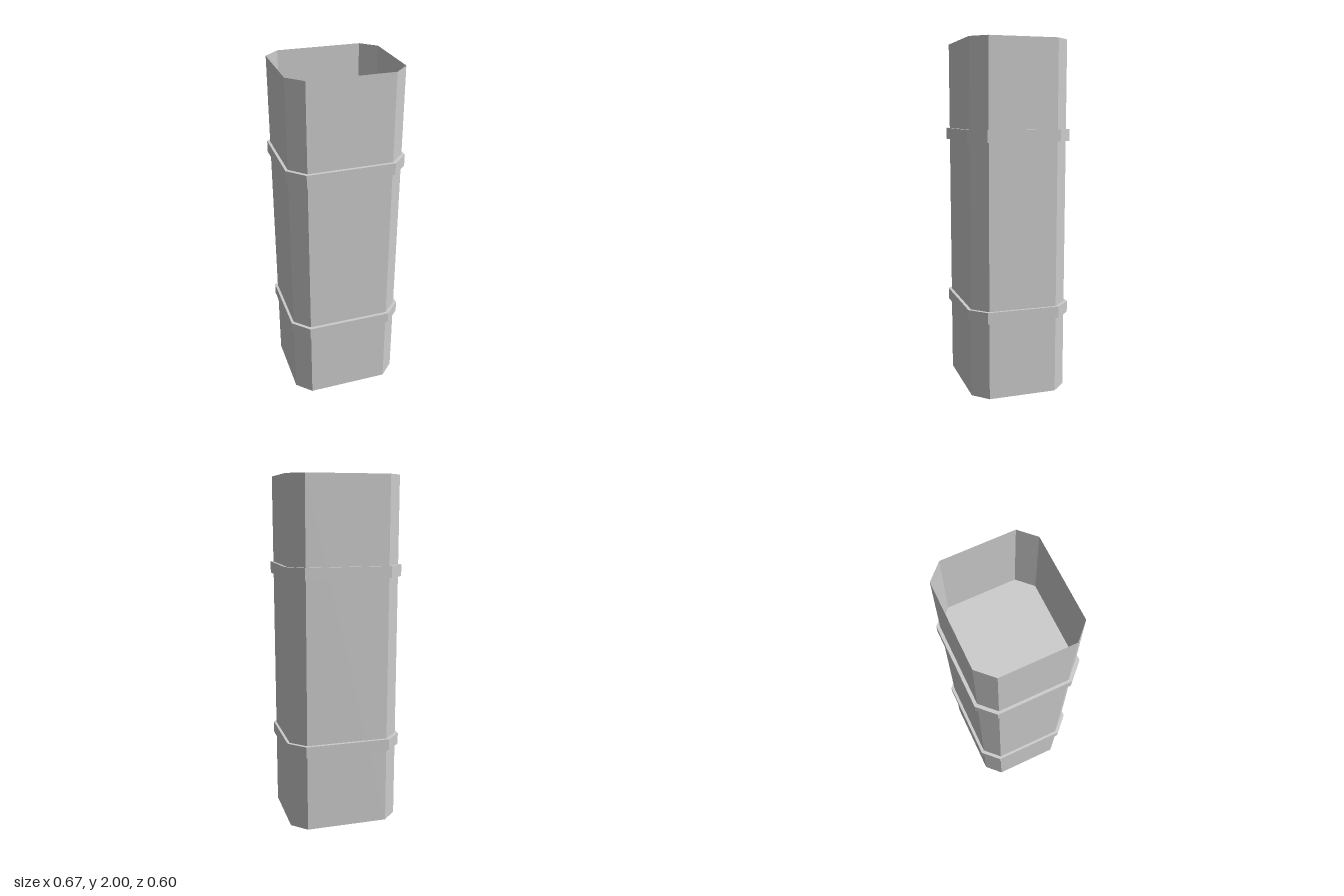
import * as THREE from 'three';

// Rectangle with chamfered corners, as an upright prism
function chamferedPrism(halfX, halfZ, chamfer, height) {
  const x = halfX - chamfer, z = halfZ - chamfer;
  const shape = new THREE.Shape([
    [halfX, -z], [halfX, z], [x, halfZ], [-x, halfZ],
    [-halfX, z], [-halfX, -z], [-x, -halfZ], [x, -halfZ],
  ].map(([a, b]) => new THREE.Vector2(a, b)));
  return new THREE.ExtrudeGeometry(shape, { depth: height, bevelEnabled: false }).rotateX(-Math.PI / 2);
}

// Keep only the side walls of an extrusion (group 1), leaving both ends open
function openEnds(geometry) {
  const { start, count } = geometry.groups[1];
  const walls = new THREE.BufferGeometry();
  for (const name of ['position', 'normal']) {
    const source = geometry.getAttribute(name).array;
    walls.setAttribute(name, new THREE.BufferAttribute(source.slice(start * 3, (start + count) * 3), 3));
  }
  return walls;
}

export function createModel() {
  const model = new THREE.Group();
  model.name = 'duct';

  const metal = new THREE.MeshStandardMaterial({ color: 0xcccccc, side: THREE.DoubleSide });
  metal.name = 'light grey metal';

  // Thin-walled shaft, open at top and bottom
  const shaft = new THREE.Mesh(openEnds(chamferedPrism(0.32, 0.28, 0.083, 2)), metal);
  shaft.name = 'shaft';
  model.add(shaft);

  // Two solid bands, which also close the shaft inside
  const bandGeometry = chamferedPrism(0.335, 0.298, 0.089, 0.066);
  [['lowerBand', 0.444], ['upperBand', 1.444]].forEach(([name, y]) => {
    const band = new THREE.Mesh(bandGeometry, metal);
    band.name = name;
    band.position.y = y;
    model.add(band);
  });

  return model;
}
